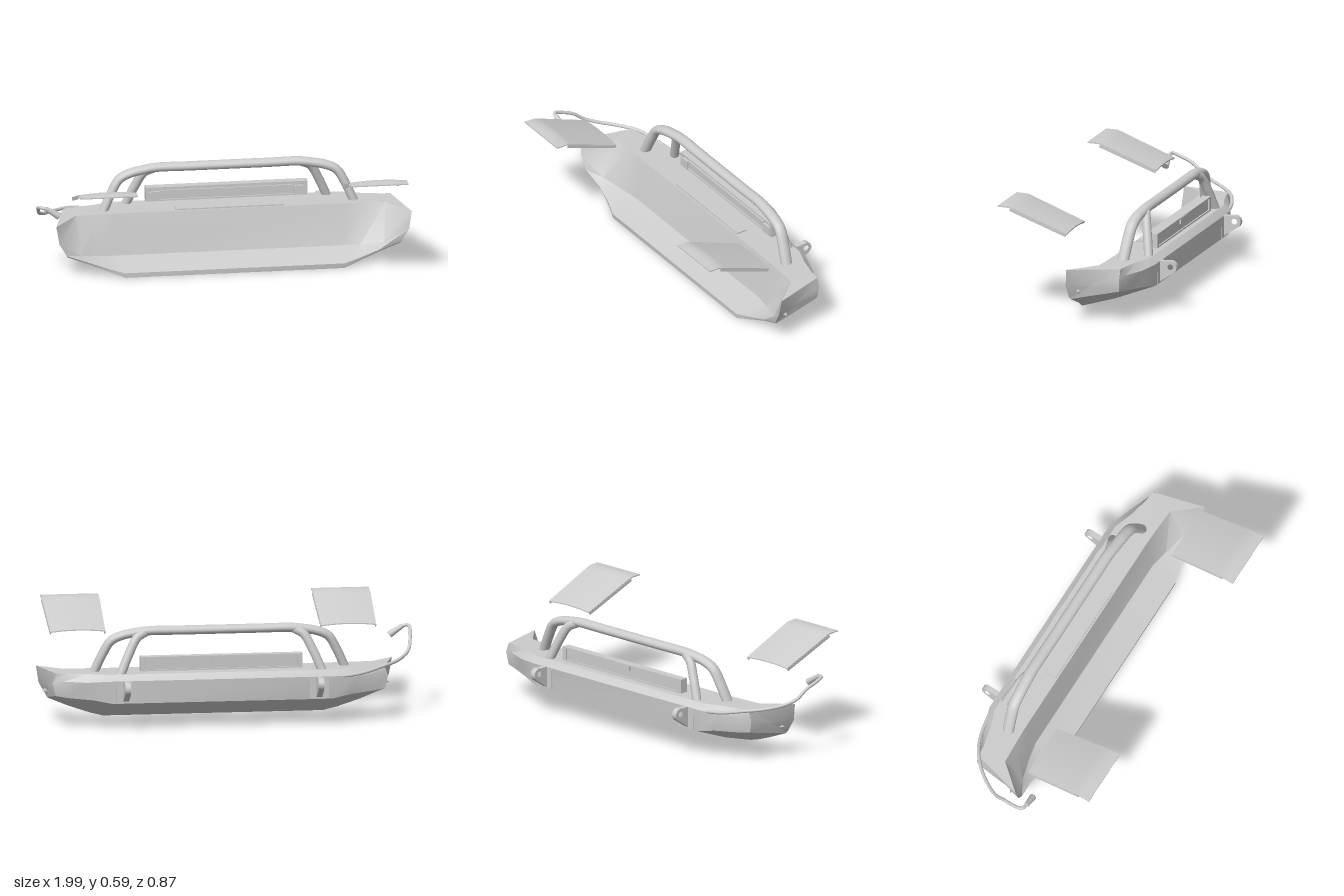
import * as THREE from 'three';
import { toCreasedNormals } from 'three/addons/utils/BufferGeometryUtils.js';

const grey = new THREE.MeshStandardMaterial({ color: 0xcccccc });
const greyThin = new THREE.MeshStandardMaterial({ color: 0xcccccc, side: THREE.DoubleSide });
const V = (p) => new THREE.Vector3(...p);

function add(parent, name, geometry, pos = [0, 0, 0], material = grey) {
  const mesh = new THREE.Mesh(geometry, material);
  mesh.name = name;
  mesh.position.set(...pos);
  parent.add(mesh);
  return mesh;
}
const box = (w, h, d) => new THREE.BoxGeometry(w, h, d);

// Tube along a path; depth above 1 makes it oval along z
function tube(pts, r, depth = 1, n = 60) {
  const path = pts.map(([x, y, z]) => V([x, y, z / depth]));
  return new THREE.TubeGeometry(new THREE.CatmullRomCurve3(path, false, 'centripetal'), n, r, 14)
    .scale(1, 1, depth);
}

// Half-body cross-sections, from the middle outwards. Each runs
// top back, back, low back, belly, lip underside, lip top, crease, top front.
const sections = [
  [[.60, .30, -.31], [.60, .27, -.345], [.58, .15, -.34], [.58, .065, -.12],
    [.58, .008, .07], [.58, .034, .072], [.58, .085, -.07], [.60, .30, -.12]],
  [[.70, .30, -.275], [.71, .26, -.31], [.68, .165, -.305], [.66, .085, -.12],
    [.65, .03, .045], [.65, .048, .047], [.68, .092, -.05], [.70, .30, -.117]],
  [[.81, .30, -.25], [.83, .26, -.262], [.81, .17, -.25], [.79, .115, -.1],
    [.77, .075, .02], [.77, .085, .025], [.80, .112, -.015], [.82, .30, -.11]],
  [[.865, .30, -.245], [.885, .25, -.245], [.87, .18, -.24], [.88, .15, -.1],
    [.88, .12, .025], [.885, .13, .034], [.925, .20, .038], [.94, .292, .03]],
];

function bodyGeometry() {
  const mirrored = sections.map((s) => s.map(([x, y, z]) => [-x, y, z])).reverse();
  const rings = [...mirrored, ...sections];
  const n = rings[0].length, pos = rings.flat(2), index = [];
  for (let i = 0; i < rings.length - 1; i++)
    for (let j = 0; j < n; j++) {
      const a = i * n + j, b = i * n + (j + 1) % n;
      index.push(a, a + n, b + n, a, b + n, b);
    }
  // Close both ends with a fan
  for (const [ring, start, flip] of [[rings[0], 0, false], [rings.at(-1), (rings.length - 1) * n, true]]) {
    const c = pos.length / 3;
    for (let k = 0; k < 3; k++) pos.push(ring.reduce((sum, p) => sum + p[k], 0) / n);
    for (let j = 0; j < n; j++) {
      const a = start + j, b = start + (j + 1) % n;
      index.push(c, flip ? b : a, flip ? a : b);
    }
  }
  const g = new THREE.BufferGeometry();
  g.setAttribute('position', new THREE.Float32BufferAttribute(pos, 3));
  g.setIndex(index);
  return toCreasedNormals(g, 0.7);
}

// Mounting lug with an eye, outlined in (-z, y) and extruded along x
function lugGeometry() {
  const s = new THREE.Shape();
  s.moveTo(.30, .272);
  s.lineTo(.385, .272);
  s.absarc(.403, .241, .034, 1.75, -.95, true);
  s.lineTo(.335, .155);
  s.lineTo(.30, .155);
  s.closePath();
  const eye = new THREE.Path();
  eye.absarc(.403, .243, .015, 0, Math.PI * 2, true);
  s.holes.push(eye);
  const g = new THREE.ExtrudeGeometry(s, { depth: .03, bevelEnabled: false, curveSegments: 16 });
  g.translate(0, 0, -.015);
  return g.rotateY(Math.PI / 2);
}

// Thin sloping panel, slightly bowed across, with a turned-down front edge
function flapGeometry() {
  const g = new THREE.BoxGeometry(.29, .006, .38, 10, 1, 12);
  const p = g.attributes.position;
  for (let i = 0; i < p.count; i++) {
    const x = p.getX(i), z = p.getZ(i), t = (z + .19) / .38;
    const front = Math.max(0, (t - .83) / .17);
    const slope = .470 + .122 * Math.min(t / .83, 1) - .007 * front;
    const bow = -.009 * (x / .145) ** 2 * (1 - front);
    p.setXYZ(i, x * (1 + .05 * t), p.getY(i) + slope + bow, z + .245);
  }
  return toCreasedNormals(g, 0.6);
}

export function createModel() {
  const model = new THREE.Group();
  model.name = 'bumperAssembly';
  const bumper = new THREE.Group();
  bumper.name = 'bumper';
  bumper.position.x = .055;
  model.add(bumper);

  add(bumper, 'bumperShell', bodyGeometry());
  add(bumper, 'topCoverPlate', box(.57, .01, .06), [0, .302, -.16]);

  // Hoop: one long oval tube with outer legs, braced by inner rear legs
  const half = [[.665, .285, -.188], [.62, .385, -.198], [.575, .46, -.206], [.52, .488, -.21],
    [.45, .503, -.214], [.38, .512, -.218], [.2, .512, -.218]];
  const hoop = [...half, ...half.map(([x, y, z]) => [-x, y, z]).reverse()];
  add(bumper, 'hoopBar', tube(hoop, .024, 1.3, 120));

  for (const s of [-1, 1]) {
    add(bumper, 'hoopRearLeg', tube([[s * .535, .285, -.287], [s * .485, .40, -.262],
      [s * .44, .48, -.24], [s * .39, .508, -.222]], .024));
    add(bumper, 'mountingLug', lugGeometry(), [s * .51, 0, 0]);
    add(bumper, 'lugBasePlate', box(.1, .11, .008), [s * .51, .21, -.341]);

    // Small pointed marker on each side face
    const marker = add(bumper, 'sideMarker', new THREE.ConeGeometry(.018, .035, 4), [s * .9, .17, -.02]);
    marker.rotation.z = -s * Math.PI / 2;

    // Raised flap with folded side edges
    const flap = new THREE.Group();
    flap.name = 'flap';
    flap.position.x = s * .715;
    bumper.add(flap);
    add(flap, 'flapPanel', flapGeometry(), [0, 0, 0], greyThin);
    for (const e of [-1, 1]) {
      const rim = add(flap, 'flapRim', box(.006, .014, .33), [e * .147, .513, .215]);
      rim.rotation.set(-.364, e * .023, 0);
    }
  }

  // Light bar behind the hoop
  const light = new THREE.Group();
  light.name = 'lightBar';
  light.position.set(0, .35, -.275);
  bumper.add(light);
  add(light, 'lightHousing', box(.8, .066, .03));
  add(light, 'lightLens', box(.70, .04, .012), [0, 0, .018]);
  for (const y of [-.034, .034]) add(light, 'lightRim', box(.84, .008, .045), [0, y, 0]);
  add(light, 'lightCentreMount', box(.11, .03, .02), [0, .02, -.015]);
  for (const s of [-1, 1]) {
    add(light, 'lightEndCap', box(.025, .075, .045), [s * .415, 0, 0]);
    add(light, 'lightBracket', box(.06, .05, .015), [s * .385, -.01, .022]);
  }

  // Flexible cable rising from the right corner to a plug
  const cable = [[-.58, .265, -.325], [-.68, .275, -.305], [-.78, .295, -.265], [-.87, .308, -.19], [-.93, .324, -.11],
    [-.965, .35, -.045], [-.98, .398, .02], [-.988, .422, .08], [-.982, .44, .13], [-.955, .435, .138]];
  add(model, 'cable', tube(cable, .009, 1, 70));
  const plug = add(model, 'cablePlug', new THREE.CylinderGeometry(.012, .019, .085, 14), [-.92, .413, .136]);
  plug.quaternion.setFromUnitVectors(V([0, 1, 0]), V([-.07, .045, .003]).normalize());
  return model;
}
